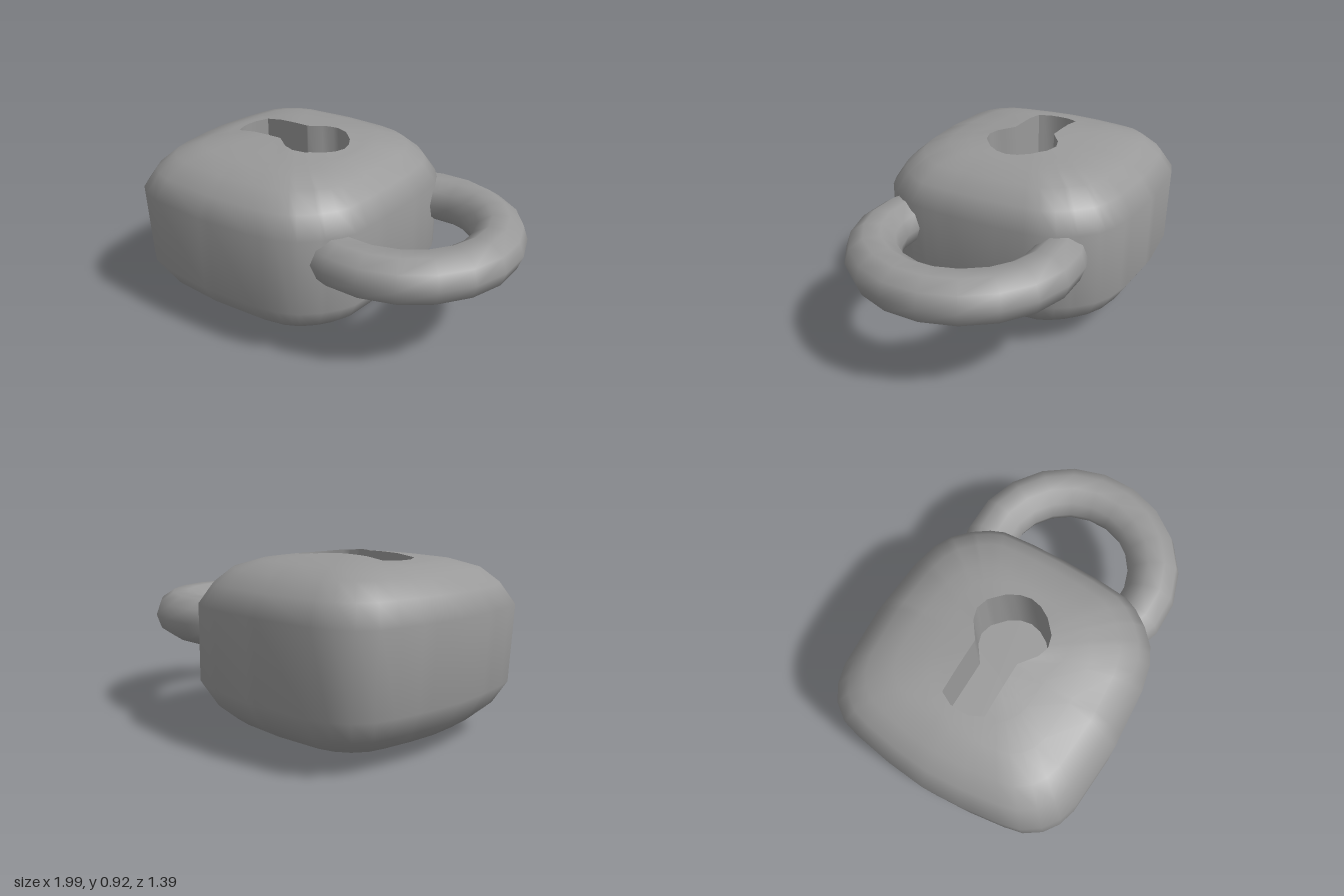
import * as THREE from 'three';
import { mergeVertices, toCreasedNormals } from 'three/addons/utils/BufferGeometryUtils.js';

const CX = -0.315; // middle of the body in x

// Half outlines (x, z) from +x round to -x, mirrored in z
const bodyHalf = [[0.37, 0], [0.365, 0.2], [0.35, 0.37], [0.32, 0.44], [0.26, 0.525], [0.18, 0.6],
  [0.09, 0.645], [-0.05, 0.675], [-0.36, 0.693], [-0.69, 0.67], [-0.79, 0.64], [-0.87, 0.585],
  [-0.93, 0.5], [-0.955, 0.4], [-0.985, 0.2], [-1, 0]];
const holeHalf = [[0.013, 0], [0, 0.06], [-0.035, 0.118], [-0.104, 0.18], [-0.168, 0.198],
  [-0.227, 0.18], [-0.313, 0.116], [-0.6, 0.116], [-0.632, 0.05], [-0.635, 0]];

function mirrorOutline(half) {
  const back = half.slice(1, -1).reverse().map(([x, z]) => [x, -z]);
  return [...half, ...back].map(([x, z]) => [x - CX, z]);
}

// Distance from the middle to an outline along one direction
function reach(outline, angle) {
  const c = Math.cos(angle), s = Math.sin(angle);
  let best = 0;
  outline.forEach(([x1, z1], i) => {
    const [x2, z2] = outline[(i + 1) % outline.length];
    const a = c * z1 - s * x1, b = c * z2 - s * x2;
    if (a * b > 1e-12 || Math.abs(a - b) < 1e-12) return;
    const t = a / (a - b);
    if (t < -1e-6 || t > 1 + 1e-6) return;
    best = Math.max(best, c * (x1 + (x2 - x1) * t) + s * (z1 + (z2 - z1) * t));
  });
  return best;
}

// Closed rings of points joined into a skin
function loft(rings) {
  const n = rings[0].length, index = [];
  for (let r = 0; r < rings.length - 1; r++) {
    for (let i = 0; i < n; i++) {
      const a = r * n + i, a2 = r * n + (i + 1) % n, b = a + n, b2 = a2 + n;
      index.push(a, a2, b, a2, b2, b);
    }
  }
  const geometry = new THREE.BufferGeometry();
  geometry.setAttribute('position', new THREE.Float32BufferAttribute(rings.flat(2), 3));
  geometry.setIndex(index);
  const merged = mergeVertices(geometry, 1e-5);
  merged.computeVertexNormals();
  return merged;
}

// Height of the domed top at a fraction of the way out
const dome = [[0, 0.925], [0.29, 0.915], [0.6, 0.885], [0.78, 0.845], [0.905, 0.77], [1, 0.668]];
function topHeight(s) {
  const k = Math.max(1, dome.findIndex(([d]) => d >= s));
  const [s0, y0] = dome[k - 1], [s1, y1] = dome[k];
  return y0 + (y1 - y0) * (s - s0) / (s1 - s0);
}

export function createModel() {
  const group = new THREE.Group();
  const metal = new THREE.MeshStandardMaterial({ color: 0x999999 });
  metal.name = 'grey metal';
  const add = (name, geometry) => {
    const mesh = new THREE.Mesh(geometry, metal);
    mesh.name = name;
    group.add(mesh);
  };

  // Directions through every corner of both outlines
  const body = mirrorOutline(bodyHalf), hole = mirrorOutline(holeHalf);
  const angles = [...body, ...hole].map(([x, z]) => Math.atan2(z, x)).sort((a, b) => a - b)
    .filter((a, i, all) => i === 0 || a - all[i - 1] > 0.004);
  const rays = angles.map((a) => {
    const out = reach(body, a), inner = reach(hole, a);
    return { c: Math.cos(a), s: Math.sin(a), out, inner, start: inner / out };
  });
  const point = (ray, f, y) => {
    const x = ray.c * ray.out * f;
    const taper = y < 0.4 && x < 0 ? 0.965 : 1; // lower edge leans in at the left
    return [CX + x * taper, y, ray.s * ray.out * f];
  };

  // Body: top from the keyhole rim outwards, straight sides, domed underside
  const rings = [];
  for (const u of [0, 0.5]) {
    rings.push(rays.map((ray) => {
      const f = ray.start + (0.6 - ray.start) * u;
      return point(ray, f, topHeight(f));
    }));
  }
  for (const [f, y] of dome.slice(2)) rings.push(rays.map((ray) => point(ray, f, y)));
  for (const [f, y] of [[1, 0.275], [0.905, 0.165], [0.78, 0.09], [0.6, 0.055], [0.29, 0.02], [0, 0]]) {
    rings.push(rays.map((ray) => point(ray, f, y)));
  }
  add('body', loft(rings));

  // Keyhole: sunk floor and walls
  const floorY = 0.55;
  const floor = rays.map((ray) => point(ray, ray.start, floorY));
  const middle = rays.map((ray) => point(ray, 0, floorY));
  add('keyholeFloor', loft([middle, floor]));
  add('keyholeWall', toCreasedNormals(loft([floor, rings[0]]), 0.7));

  // Shackle: ring whose ends sink into the body
  const arc = Math.PI * 1.5;
  const shackle = new THREE.TorusGeometry(0.46, 0.138, 10, 15, arc);
  shackle.rotateZ(-arc / 2);
  shackle.rotateX(Math.PI / 2);
  shackle.scale(1, 0.92, 1);
  shackle.translate(0.402, 0.545, 0);
  add('shackle', shackle);

  return group;
}
